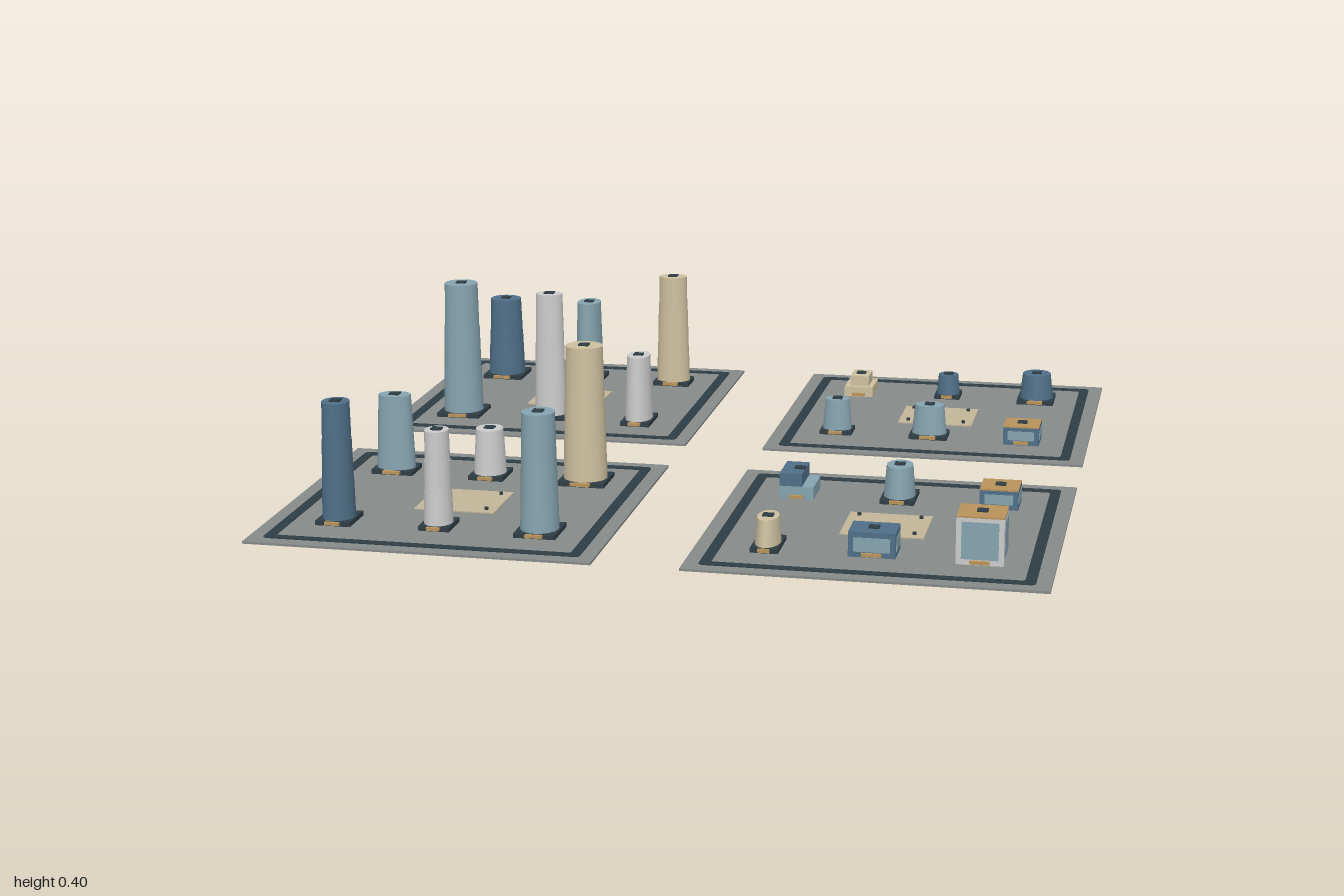
import * as THREE from 'three';

const mat = (color) => new THREE.MeshStandardMaterial({ color });
const M = {
  blue: mat(0x4f6f88), sky: mat(0x86a4b0), cream: mat(0xcdbf9f), white: mat(0xc8cac6),
  gold: mat(0xb8935a), dark: mat(0x2e3d45), ground: mat(0x868a89), plaza: mat(0xc2b598),
};
const GROUND = 0.006;

function add(parent, name, geometry, material, x = 0, y = 0, z = 0) {
  const mesh = new THREE.Mesh(geometry, material);
  mesh.name = name;
  mesh.position.set(x, y, z);
  parent.add(mesh);
  return mesh;
}

// box standing on height y
function block(parent, name, material, w, h, d, x, y, z) {
  return add(parent, name, new THREE.BoxGeometry(w, h, d), material, x, y + h / 2, z);
}

// rounded square outline
function roundedSquare(target, s, r) {
  target.moveTo(-s + r, -s);
  target.lineTo(s - r, -s).quadraticCurveTo(s, -s, s, -s + r);
  target.lineTo(s, s - r).quadraticCurveTo(s, s, s - r, s);
  target.lineTo(-s + r, s).quadraticCurveTo(-s, s, -s, s - r);
  target.lineTo(-s, -s + r).quadraticCurveTo(-s, -s, -s + r, -s);
  return target;
}

// entrance canopy and roof hatch shared by all buildings
function fittings(g, w, d, h) {
  block(g, 'entranceCanopy', M.gold, w * 0.42, 0.008, 0.016, 0, 0.004, d / 2 + 0.002);
  block(g, 'roofHatch', M.dark, 0.027, 0.004, 0.025, 0, h, 0);
}

// oval tower that tapers upward; several tiers step inward
function tower(g, color, w, d, h, tiers) {
  block(g, 'plinth', M.dark, w, 0.012, d, 0, 0, 0);
  const base = 0.012, step = (h - base) / tiers;
  const width = (t) => 0.92 - 0.15 * t;
  for (let i = 0; i < tiers; i++) {
    const inset = i * 0.012;
    const top = width((i + 1) / tiers), bottom = width(i / tiers) - inset;
    const geo = new THREE.CylinderGeometry((top - inset * 0.5) / 2, bottom / 2, step, 24);
    geo.scale(w, 1, d);
    add(g, 'towerTier', geo, M[color], 0, base + step * (i + 0.5), 0);
    // narrow shadow band between tiers
    if (i > 0) {
      const band = new THREE.CylinderGeometry((bottom + 0.015) / 2, (bottom + 0.015) / 2, 0.003, 24);
      band.scale(w, 1, d);
      add(g, 'towerBand', band, M[color], 0, base + step * i, 0);
    }
  }
  fittings(g, w, d, h);
}

// framed pavilion with a glass panel on each side
function pavilion(g, color, w, d, h, roof) {
  block(g, 'walls', M[color], w, h - 0.004, d, 0, 0, 0);
  block(g, 'roof', M[roof], w, 0.004, d, 0, h - 0.004, 0);
  const ph = h - 0.028;
  block(g, 'glassFrontBack', M.sky, w - 0.026, ph, d + 0.003, 0, 0.014, 0);
  block(g, 'glassSides', M.sky, w + 0.003, ph, d - 0.026, 0, 0.014, 0);
  fittings(g, w, d, h);
}

// low block with a taller set-back part
function stepped(g, lower, upper, w, d, h, shift) {
  block(g, 'lowerBlock', M[lower], w, h * 0.5, d, 0, 0, 0);
  block(g, 'upperBlock', M[upper], w * 0.66, h, d * (shift ? 1 : 0.7), shift, 0, shift ? -0.001 : 0);
  fittings(g, w, d, h);
}

// each district: centre sign, rows of buildings [kind, colour, width, depth, height, extra]
const districts = [
  { sx: -1, sz: -1, list: [
    ['tower', 'blue', 0.12, 0.12, 0.25, 2], ['tower', 'sky', 0.09, 0.13, 0.25, 1], ['tower', 'cream', 0.11, 0.09, 0.34, 3],
    ['tower', 'sky', 0.125, 0.13, 0.395, 3], ['tower', 'white', 0.10, 0.085, 0.375, 1], ['tower', 'white', 0.085, 0.125, 0.205, 1]] },
  { sx: -1, sz: 1, list: [
    ['tower', 'sky', 0.115, 0.09, 0.22, 1], ['tower', 'white', 0.095, 0.105, 0.14, 1], ['tower', 'cream', 0.128, 0.123, 0.38, 1],
    ['tower', 'blue', 0.092, 0.107, 0.32, 3], ['tower', 'white', 0.08, 0.095, 0.26, 3], ['tower', 'sky', 0.107, 0.117, 0.32, 1]] },
  { sx: 1, sz: -1, list: [
    ['stepped', 'cream', 0.085, 0.118, 0.065, 'cream', 0], ['tower', 'blue', 0.075, 0.08, 0.075, 1], ['tower', 'blue', 0.107, 0.117, 0.09, 1],
    ['tower', 'sky', 0.09, 0.075, 0.105, 1], ['tower', 'sky', 0.107, 0.085, 0.1, 1], ['pavilion', 'blue', 0.1, 0.096, 0.06, 'gold']] },
  { sx: 1, sz: 1, list: [
    ['stepped', 'sky', 0.09, 0.118, 0.075, 'blue', -0.0153], ['tower', 'sky', 0.09, 0.118, 0.1, 1], ['pavilion', 'blue', 0.1, 0.1, 0.06, 'gold'],
    ['tower', 'cream', 0.07, 0.123, 0.085, 1], ['pavilion', 'blue', 0.117, 0.092, 0.07, 'blue'], ['pavilion', 'white', 0.117, 0.108, 0.128, 'gold']] },
];

export function createModel() {
  const model = new THREE.Group();
  model.name = 'cityDistricts';

  for (const { sx, sz, list } of districts) {
    const district = new THREE.Group();
    district.name = 'district';
    district.position.set(sx * 0.555, 0, sz * 0.555);
    model.add(district);

    // ground slab with ring road
    block(district, 'groundSlab', M.ground, 0.89, GROUND, 0.89, 0, 0, 0);
    const ring = roundedSquare(new THREE.Shape(), 0.407, 0.015);
    ring.holes.push(roundedSquare(new THREE.Path(), 0.38, 0.008));
    const road = new THREE.ExtrudeGeometry(ring, { depth: 0.002, bevelEnabled: false, curveSegments: 4 });
    add(district, 'ringRoad', road.rotateX(-Math.PI / 2), M.dark, 0, GROUND, 0);

    // plaza with four corner posts
    block(district, 'plaza', M.plaza, 0.213, 0.003, 0.193, -0.003, GROUND, 0);
    for (const px of [-1, 1]) for (const pz of [-1, 1]) {
      add(district, 'plazaPost', new THREE.CylinderGeometry(0.005, 0.005, 0.01, 8), M.dark,
        px * 0.08 - 0.003, GROUND + 0.005, pz * 0.07);
    }

    // two rows of three buildings
    list.forEach(([kind, color, w, d, h, extra, shift], i) => {
      const building = new THREE.Group();
      building.name = kind === 'tower' ? 'tower' : kind === 'stepped' ? 'steppedBlock' : 'pavilion';
      building.position.set((i % 3 - 1) * 0.264 - 0.003, GROUND, i < 3 ? -0.247 : 0.225);
      const height = h - GROUND;
      if (kind === 'tower') tower(building, color, w, d, height, extra);
      else if (kind === 'pavilion') pavilion(building, color, w, d, height, extra);
      else stepped(building, color, extra, w, d, height, shift);
      district.add(building);
    });
  }
  return model;
}
